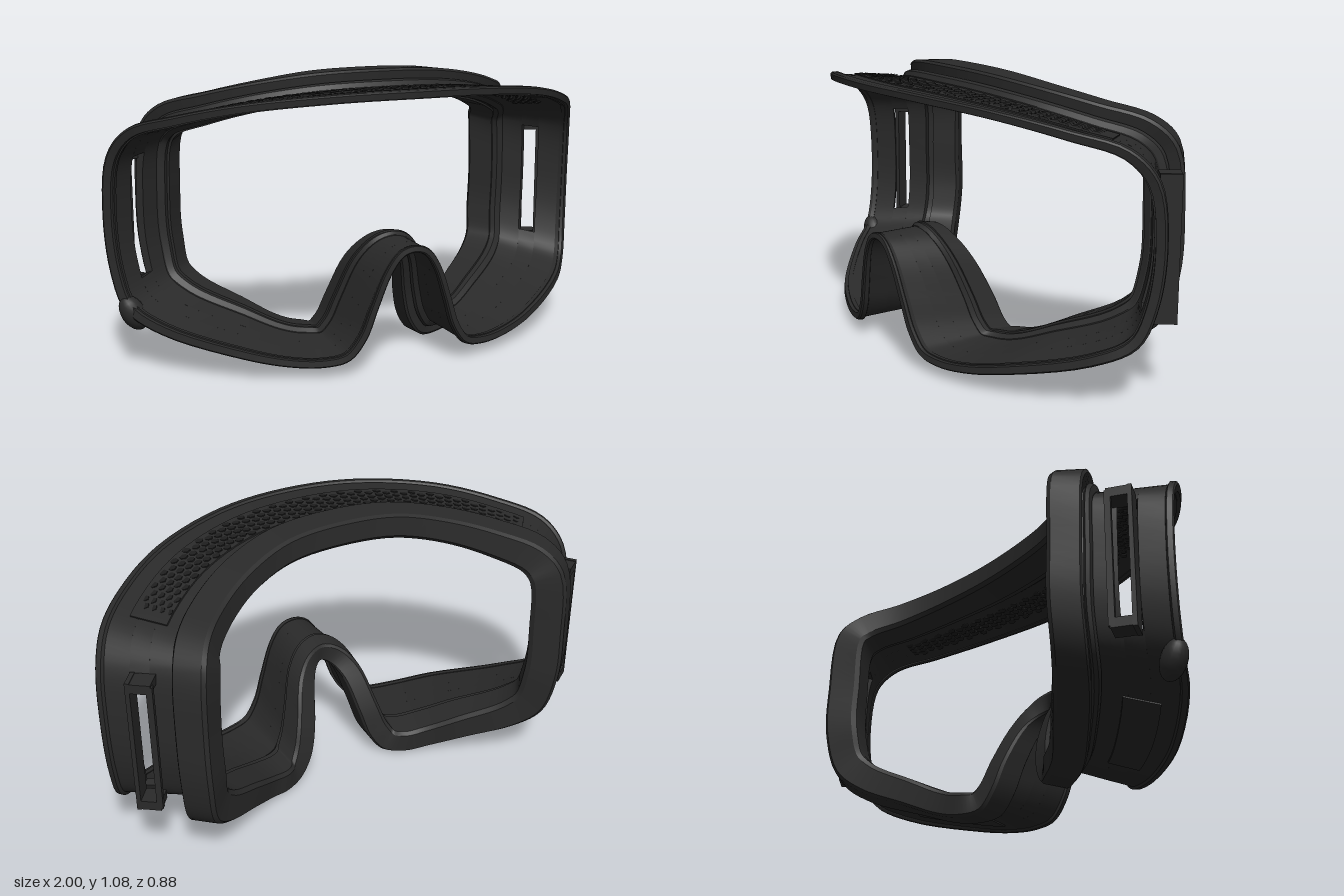
import * as THREE from 'three';
import { mergeGeometries } from 'three/addons/utils/BufferGeometryUtils.js';

const black = new THREE.MeshStandardMaterial({ color: 0x2a2a2a });
black.name = 'matte black';
const dark = new THREE.MeshStandardMaterial({ color: 0x1e1e1e });
dark.name = 'vent black';

// Half outlines from top centre, round the left side, to the nose apex.
const frontHalf = [
  [0, 1.035], [0.3, 1.028], [0.6, 0.997], [0.8, 0.948], [0.93, 0.893], [0.985, 0.79], [1, 0.58],
  [0.985, 0.36], [0.95, 0.23], [0.85, 0.158], [0.6, 0.085], [0.45, 0.055], [0.33, 0.047],
  [0.24, 0.065], [0.18, 0.14], [0.14, 0.25], [0.09, 0.38], [0.045, 0.44], [0, 0.453],
].map(([x, y]) => [x, y, -0.74 + Math.sqrt(1.18 ** 2 - x * x) - 0.07 * (1 - y) * (1 - 0.7 * x)]);
const backHalf = [
  [0, 1.078, -0.04], [0.22, 1.069, -0.06], [0.4, 1.035, -0.13], [0.55, 0.993, -0.23], [0.67, 0.945, -0.35],
  [0.72, 0.865, -0.42], [0.735, 0.6, -0.44], [0.73, 0.41, -0.44], [0.7, 0.24, -0.4], [0.62, 0.155, -0.33],
  [0.48, 0.083, -0.22], [0.36, 0.025, -0.13], [0.27, 0.004, -0.09], [0.19, 0.014, -0.05],
  [0.135, 0.085, -0.03], [0.1, 0.2, 0], [0.065, 0.34, 0.07], [0.03, 0.39, 0.12], [0, 0.402, 0.14],
];
const SPANS = 36;

function loop(half) {
  const other = half.slice(1, -1).reverse().map(([x, y, z]) => [-x, y, z]);
  const pts = [...half, ...other].map((p) => new THREE.Vector3(...p));
  return new THREE.CatmullRomCurve3(pts, true, 'centripetal');
}
const front = loop(frontHalf);
const back = loop(backHalf);
const wrap = (t) => (((t / SPANS) % 1) + 1) % 1;

// Inward direction, averaged so tight corners do not pinch;
// deeper at the sides, shallower over the nose
function inward(t) {
  const sum = new THREE.Vector3();
  for (let k = -3; k <= 3; k++) {
    const u = wrap(t + k * 0.2);
    const w = back.getPoint(u).sub(front.getPoint(u));
    const tangent = front.getTangent(u).add(back.getTangent(u));
    sum.add(w.cross(tangent).normalize());
  }
  const u = wrap(t) * SPANS;
  const along = Math.min(u, SPANS - u);
  const side = THREE.MathUtils.smoothstep(5 - Math.abs(along - 6.5), 0, 4);
  const nose = THREE.MathUtils.smoothstep(along, 13, 17);
  return sum.setLength(1 + 0.37 * side - 0.17 * nose);
}
// s runs from the front rim (0) to the face side (1); d is depth inward
function at(t, s, d, n = inward(t)) {
  const u = wrap(t);
  return front.getPoint(u).lerp(back.getPoint(u), s).addScaledVector(n, d);
}

// Sweep a closed (s, d) section round the frame, each section edge kept sharp
function sweep(section, t0 = 0, t1 = SPANS) {
  const full = t1 - t0 === SPANS;
  const steps = Math.ceil((t1 - t0) * 5);
  const rows = full ? steps : steps + 1;
  const pos = [], index = [], rings = [];
  for (let i = 0; i < rows; i++) {
    const t = t0 + ((t1 - t0) * i) / steps;
    const n = inward(t);
    rings.push(section.map(([s, d]) => at(t, s, d, n)));
  }
  const m = section.length;
  for (let j = 0; j < m; j++) {
    const base = pos.length / 3;
    for (const r of rings) pos.push(...r[j].toArray(), ...r[(j + 1) % m].toArray());
    for (let i = 0; i < steps; i++) {
      const a = base + 2 * i, e = base + 2 * ((i + 1) % rows);
      index.push(a, e, e + 1, a, e + 1, a + 1);
    }
  }
  // End caps of a partial sweep
  if (!full) {
    for (const [ring, first] of [[rings[0], true], [rings[rows - 1], false]]) {
      const base = pos.length / 3;
      ring.forEach((p) => pos.push(...p.toArray()));
      for (let j = 1; j < m - 1; j++) {
        index.push(base, base + (first ? j : j + 1), base + (first ? j + 1 : j));
      }
    }
  }
  const g = new THREE.BufferGeometry();
  g.setAttribute('position', new THREE.Float32BufferAttribute(pos, 3));
  g.setIndex(index);
  g.computeVertexNormals();
  return g;
}

const wallDepth = (s) => 0.002 + 0.07 * s;
const plate = (s0, s1, lift, thick) => [
  [s0, wallDepth(s0) - lift], [s1, wallDepth(s1) - lift],
  [s1, wallDepth(s1) - lift + thick], [s0, wallDepth(s0) - lift + thick],
];

export function createModel() {
  const model = new THREE.Group();
  model.name = 'goggleFrame';
  const add = (name, geometry, material = black, parent = model) => {
    const mesh = new THREE.Mesh(geometry, material);
    mesh.name = name;
    parent.add(mesh);
    return mesh;
  };

  // Front lip with a step for the lens
  add('frontRim', sweep([[0, 0.002], [0.015, -0.003], [0.06, -0.003], [0.07, 0.005], [0.07, 0.03], [0.03, 0.03], [0.03, 0.026], [0, 0.024]]));

  // Wall in three bands; the middle one is interrupted by the side slots
  add('frontWall', sweep(plate(0.06, 0.28, 0, 0.02)));
  add('slotWallTop', sweep(plate(0.28, 0.44, 0, 0.02), 30.9, 41.1));
  add('slotWallBottom', sweep(plate(0.28, 0.44, 0, 0.02), 7.5, 28.5));
  add('rearWall', sweep(plate(0.44, 0.65, 0, 0.02)));

  // Stepped flange and face cushion
  add('flange', sweep([[0.635, 0.042], [0.66, 0.026], [0.695, 0.022], [0.71, 0.034], [0.73, 0.034], [0.73, 0.086], [0.67, 0.086], [0.635, 0.07]]));
  add('faceCushion', sweep([[0.72, -0.006], [0.74, -0.014], [0.97, -0.003], [1, 0.006], [0.99, 0.08], [0.96, 0.093], [0.72, 0.093]]));

  // Top vent panel and the lower side panels
  add('topVentPanel', sweep(plate(0.21, 0.53, 0.005, 0.008), -3.6, 3.6));
  add('lowerPanelLeft', sweep(plate(0.2, 0.48, 0.005, 0.008), 9.3, 11.2));
  add('lowerPanelRight', sweep(plate(0.2, 0.48, 0.005, 0.008), 24.8, 26.7));

  // Honeycomb cells, spaced evenly along the panel
  const cells = [];
  const up = new THREE.Vector3(0, 1, 0);
  let last = null, column = 0;
  for (let t = -3.45; t <= 3.45; t += 0.01) {
    const p = at(t, 0.37, 0.03);
    if (last && p.distanceTo(last) < 0.033) continue;
    last = p;
    const n = inward(t);
    const axis = new THREE.Quaternion().setFromUnitVectors(up, n.clone().normalize());
    for (let row = 0; row < 4; row++) {
      const s = 0.25 + row * 0.07 + (column % 2) * 0.035;
      const g = new THREE.CylinderGeometry(0.016, 0.016, 0.03, 6);
      g.applyQuaternion(axis);
      const c = at(t, s, wallDepth(s) + 0.008, n);
      cells.push(g.translate(c.x, c.y, c.z));
    }
    column++;
  }
  add('ventCells', mergeGeometries(cells), dark);

  // Strap clips standing off the outside of each slot
  for (const side of [1, -1]) {
    const clip = new THREE.Group();
    clip.name = side > 0 ? 'strapClipLeft' : 'strapClipRight';
    clip.position.set(side * 0.868, 0.535, -0.23);
    clip.rotation.y = side > 0 ? 0.94 : Math.PI - 0.94;
    const frontPlate = add('clipFrontPlate', new THREE.BoxGeometry(0.076, 0.52, 0.016), black, clip);
    frontPlate.position.set(0.014, 0, side * 0.04);
    const rearBar = add('clipRearBar', new THREE.BoxGeometry(0.02, 0.5, 0.022), black, clip);
    rearBar.position.set(0.042, 0, side * -0.035);
    for (const y of [-0.24, 0.24]) {
      const rib = add('clipEnd', new THREE.BoxGeometry(0.076, 0.035, 0.08), black, clip);
      rib.position.set(0.014, y, 0);
    }
    model.add(clip);
  }

  // Small release tab at the lower right corner
  const tab = add('releaseTab', new THREE.SphereGeometry(0.06, 20, 12));
  tab.scale.set(0.75, 1.2, 0.75);
  tab.position.set(-0.915, 0.212, -0.075);
  tab.rotation.z = 0.5;

  return model;
}
